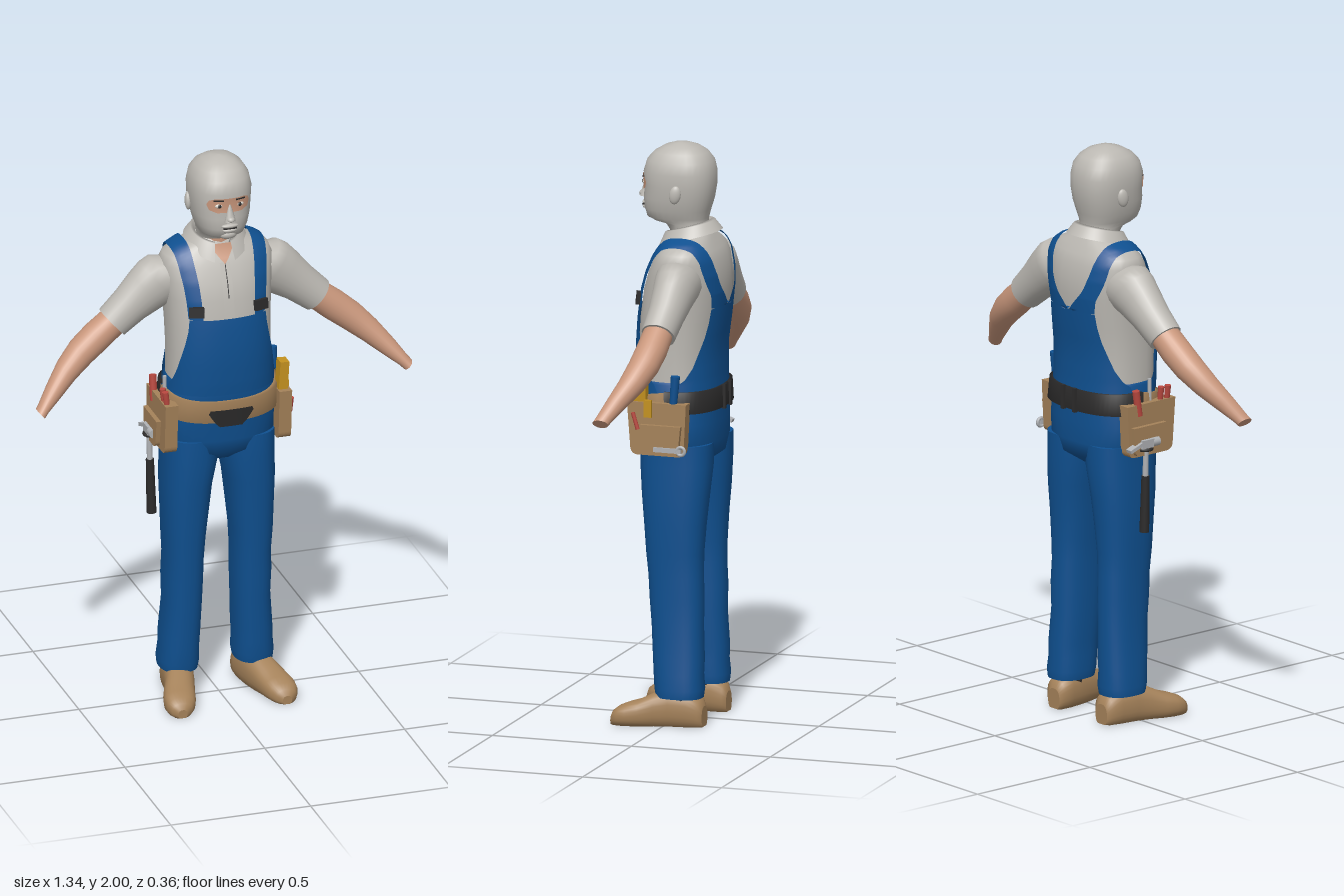
import * as THREE from 'three';

const mat = (name, color, side = THREE.FrontSide) => {
  const m = new THREE.MeshStandardMaterial({ color, side });
  m.name = name;
  return m;
};
const V = (x, y, z) => new THREE.Vector3(x, y, z);
const N = 32, POW = 2.4;

// Skin a grid of points; closed rows become a tube with crisp end caps
function skinGrid(rows, closed) {
  const pos = [], idx = [], n = rows[0].length;
  rows.forEach(r => r.forEach(p => pos.push(p.x, p.y, p.z)));
  for (let i = 0; i < rows.length - 1; i++)
    for (let j = 0; j < (closed ? n : n - 1); j++) {
      const a = i * n + j, b = i * n + (j + 1) % n, c = a + n, d = b + n;
      idx.push(a, c, b, b, c, d);
    }
  if (closed) [rows[0], rows[rows.length - 1]].forEach((r, end) => {
    const base = pos.length / 3, mid = V(0, 0, 0);
    r.forEach(p => { pos.push(p.x, p.y, p.z); mid.addScaledVector(p, 1 / n); });
    pos.push(mid.x, mid.y, mid.z);
    for (let j = 0; j < n; j++) {
      const p = base + j, q = base + (j + 1) % n;
      idx.push(base + n, end ? q : p, end ? p : q);
    }
  });
  const g = new THREE.BufferGeometry();
  g.setAttribute('position', new THREE.Float32BufferAttribute(pos, 3));
  g.setIndex(idx);
  g.computeVertexNormals();
  return g;
}

// Body sections are [y, halfWidth, frontZ, backZ, centreX]
function sectionAt(secs, y) {
  let i = 0;
  while (i < secs.length - 2 && y > secs[i + 1][0]) i++;
  const f = THREE.MathUtils.clamp((y - secs[i][0]) / (secs[i + 1][0] - secs[i][0]), 0, 1);
  const m = k => THREE.MathUtils.lerp(secs[i][k] ?? 0, secs[i + 1][k] ?? 0, f);
  return { a: m(1), b: (m(2) - m(3)) / 2, zc: (m(2) + m(3)) / 2, xc: m(4) };
}
const sp = v => Math.sign(v) * Math.abs(v) ** (2 / POW);
function ringPoint(secs, y, t, off = 0) {
  const s = sectionAt(secs, y);
  return V(s.xc + (s.a + off) * sp(Math.cos(t)), y, s.zc + (s.b + off) * sp(Math.sin(t)));
}
const body = secs => skinGrid(secs.map(s =>
  Array.from({ length: N }, (_, j) => ringPoint(secs, s[0], j / N * Math.PI * 2))), true);
function surfaceZ(secs, x, y, side, off) {
  const s = sectionAt(secs, y), k = Math.min(1, Math.abs(x) / (s.a + off));
  return s.zc + side * (s.b + off) * (1 - k ** POW) ** (1 / POW);
}
// Cloth panel lying on a body: rows of [y, halfWidth]
const panel = (secs, rows, side, off) => skinGrid(rows.map(([y, w]) =>
  Array.from({ length: 25 }, (_, j) => {
    const x = w * Math.sin((j / 12 - 1) * Math.PI / 2) * side;
    return V(-x, y, surfaceZ(secs, x, y, side, off));
  })), false);
// Arm tube: rows of [x, y, z, radius, depthRadius]
const limb = rows => skinGrid(rows.map(([x, y, z, r, rz]) => Array.from({ length: 24 }, (_, j) => {
  const t = j / 24 * Math.PI * 2, c = Math.cos(t) * r;
  return V(x + c * 0.66, y + c * 0.75, z - Math.sin(t) * rz);
})), true);

const TORSO = [[1.12, .183, .118, -.148], [1.2, .18, .125, -.145], [1.3, .18, .128, -.145], [1.4, .182, .122, -.158],
  [1.5, .188, .108, -.167], [1.56, .195, .09, -.165], [1.61, .198, .068, -.155], [1.64, .185, .052, -.142],
  [1.662, .155, .037, -.127], [1.685, .095, .03, -.115], [1.7, .06, .02, -.1]];
const PELVIS = [[.89, .08, .05, -.09], [.93, .17, .1, -.148], [.98, .198, .109, -.156], [1.05, .2, .115, -.157],
  [1.13, .194, .125, -.154], [1.19, .187, .132, -.152], [1.2, .178, .122, -.142]];
const LEG = [[.1, .066, .035, -.128, .134], [.13, .07, .04, -.132, .133], [.18, .066, .044, -.128, .131],
  [.23, .067, .047, -.13, .129], [.35, .064, .055, -.125, .122], [.44, .067, .062, -.127, .122], [.52, .066, .067, -.124, .12],
  [.6, .071, .075, -.125, .12], [.7, .078, .083, -.132, .116], [.8, .085, .092, -.142, .112], [.9, .094, .1, -.15, .101],
  [.98, .097, .1, -.15, .099]];
const HEAD = [[1.7, .066, .03, -.095], [1.722, .07, .045, -.098], [1.73, .071, .088, -.099], [1.742, .078, .11, -.1],
  [1.77, .089, .12, -.107], [1.81, .099, .122, -.119], [1.855, .104, .118, -.126], [1.9, .106, .122, -.127],
  [1.94, .098, .11, -.118], [1.968, .08, .085, -.097], [1.987, .055, .052, -.068], [1.997, .028, .02, -.036], [2, .004, .0, -.008]];

export function createModel() {
  const root = new THREE.Group();
  root.name = 'worker';
  const D = THREE.DoubleSide;
  const shirt = mat('light grey', 0xbcb9b3, D), skin = mat('skin', 0xc9977c, D), blue = mat('work blue', 0x0f5090, D),
    tan = mat('tan leather', 0xa5825a, D), black = mat('black', 0x2c2b2b, D), red = mat('red', 0xb8483f),
    yellow = mat('yellow', 0xc4921f), steel = mat('steel', 0xb0b2b5), white = mat('eye white', 0xd8d2c8);
  const add = (name, geo, m, parent = root, x = 0, y = 0, z = 0) => {
    const mesh = new THREE.Mesh(geo, m);
    mesh.name = name;
    mesh.position.set(x, y, z);
    parent.add(mesh);
    return mesh;
  };
  const box = (w, h, d) => new THREE.BoxGeometry(w, h, d);
  const rod = (r, h, r2 = r) => new THREE.CylinderGeometry(r, r2, h, 14);
  const blob = (x, y, z) => new THREE.SphereGeometry(1, 20, 14).scale(x, y, z);

  // Trunk and clothing panels
  add('shirt', body(TORSO), shirt);
  add('trouserSeat', body(PELVIS), blue);
  add('bib', panel(TORSO, [[1.16, .19], [1.19, .187], [1.21, .181], [1.25, .172], [1.3, .162], [1.35, .15], [1.4, .14], [1.44, .136]], 1, .01), blue);
  add('backPanel', panel(TORSO, [[1.16, .19], [1.19, .186], [1.21, .176], [1.25, .16], [1.3, .143], [1.35, .129], [1.4, .12], [1.45, .115]], -1, .01), blue);
  add('placket', panel(TORSO, [[1.43, .018], [1.5, .018], [1.56, .018], [1.625, .018]], 1, .005), shirt);
  add('placketSeam', panel(TORSO, [[1.51, .0015], [1.56, .0015], [1.625, .0015]], 1, .008), black);
  add('openNeck', panel(TORSO, [[1.622, .002], [1.64, .016], [1.662, .032], [1.685, .05]], 1, .009), skin);

  // Collar folded around the neck
  const collarRow = (r0, y0, dy, p) => Array.from({ length: 41 }, (_, j) => {
    const t = .33 + j / 40 * (Math.PI * 2 - .66), k = (1 - Math.cos(t)) / 2;
    return V(r0 * Math.sin(t), y0 + dy * k ** p, -.037 + r0 * Math.cos(t));
  });
  add('collar', skinGrid([collarRow(.07, 1.66, .05, 1), collarRow(.077, 1.69, .05, .8), collarRow(.085, 1.685, .05, .7),
    collarRow(.111, 1.618, .085, .55)], false), shirt);
  add('neck', rod(.062, .14), skin, root, 0, 1.65, -.032);

  // Head with hood, eye opening and features
  const head = new THREE.Group();
  head.name = 'head';
  root.add(head);
  add('hood', body(HEAD), shirt, head);
  add('eyeOpening', panel(HEAD, [[1.836, .045], [1.845, .068], [1.865, .076], [1.88, .07], [1.888, .05]], 1, .003), skin, head);
  const nose = add('nose', new THREE.ConeGeometry(.02, .075, 14).scale(1, 1, .9), shirt, head, 0, 1.84, .122);
  nose.rotation.x = -.12;
  add('noseTip', blob(.015, .012, .017), shirt, head, 0, 1.812, .129);
  add('upperLip', blob(.03, .008, .011), shirt, head, 0, 1.785, .12);
  add('lowerLip', blob(.026, .008, .011), shirt, head, 0, 1.769, .12);
  add('mouthLine', box(.046, .004, .008), black, head, 0, 1.777, .124);
  add('chin', blob(.032, .018, .02), shirt, head, 0, 1.746, .097);

  // Tool belt: leather front, webbing back
  const belt = (t0, mid, h) => skinGrid([[0, -1], [.014, -1], [.014, 1], [0, 1]].map(([off, e]) =>
    Array.from({ length: 33 }, (_, j) => {
      const t = t0 + j / 32 * Math.PI;
      return ringPoint(PELVIS, mid(t) + e * h, t, off);
    })), false);
  add('beltFront', belt(0, t => 1.125 - .027 * Math.sin(t), .04), tan);
  add('beltBack', belt(Math.PI, () => 1.132, .037), black);
  add('beltPad', panel(PELVIS, [[1.045, .04], [1.06, .055], [1.085, .072], [1.098, .08], [1.11, .074]], 1, .021), black);
  [-.03, .03].forEach(x => add('beltLoop', box(.014, .084, .012), black, root, x, 1.132, -.17));

  // Parts mirrored on both sides
  const strapPath = new THREE.CatmullRomCurve3([[-25, .092, .138], [0, .095, .142], [30, .1, .148], [60, .108, .157], [90, .114, .166],
    [120, .112, .164], [150, .093, .15], [170, .07, .133], [180, .05, .123], [190, .025, .118], [201, 0, .115]].map(([d, a, b]) => V(d / 100, a, b)));
  const strapPoint = (deg, x) => {
    const th = deg * Math.PI / 180, cy = Math.sin(th), cz = Math.cos(th);
    let lo = 0, hi = .3;
    for (let k = 0; k < 22; k++) {
      const r = (lo + hi) / 2, y = 1.5 + r * cy, s = sectionAt(TORSO, y);
      const q = (x / s.a) ** POW + Math.abs((-.03 + r * cz - s.zc) / s.b) ** POW;
      if (q < 1 && y < 1.7) lo = r; else hi = r;
    }
    return V(x, 1.5 + (lo + .011) * cy, -.03 + (lo + .011) * cz);
  };
  const strapRows = strapPath.getPoints(60).map(p => Array.from({ length: 7 }, (_, j) =>
    strapPoint(p.x * 100, THREE.MathUtils.lerp(p.y, p.z, j / 6))));
  const shoeRows = [[-.132, .125, .03, .07], [-.12, .126, .046, .1], [-.08, .13, .054, .125], [-.02, .138, .054, .13], [.03, .15, .054, .115],
    [.08, .168, .057, .09], [.12, .178, .057, .078], [.15, .183, .05, .066], [.17, .186, .036, .05], [.18, .187, .016, .03]]
    .map(([z, xc, w, h]) => Array.from({ length: 28 }, (_, j) => {
      const t = j / 28 * Math.PI * 2;
      return V(xc + w * sp(Math.cos(t)), Math.max(0, h * (.45 - .55 * sp(Math.sin(t)))), z);
    }));
  const pouchShape = (z0, z1, y0, y1) => {
    const s = new THREE.Shape();
    s.moveTo(z0, y1);
    s.lineTo(z0 + .008, y0 + .02);
    s.quadraticCurveTo(z0 + .01, y0, z0 + .03, y0);
    s.lineTo(z1 - .04, y0);
    s.quadraticCurveTo(z1 - .015, y0, z1 - .012, y0 + .025);
    s.lineTo(z1, y1);
    return s;
  };
  const pouch = (depth, ...b) => new THREE.ExtrudeGeometry(pouchShape(...b), { depth, bevelEnabled: false }).rotateY(-Math.PI / 2);
  const sides = {};
  for (const s of [1, -1]) {
    const g = new THREE.Group();
    g.name = s > 0 ? 'leftSide' : 'rightSide';
    g.scale.x = s;
    root.add(g);
    sides[s] = g;
    add('strap', skinGrid(strapRows, false), blue, g);
    const bz = surfaceZ(TORSO, .115, 1.472, 1, .016);
    add('strapBuckle', box(.052, .036, .014), black, g, .115, 1.472, bz).rotation.set(-.12, .35, 0);
    add('sleeve', limb([[.1, 1.57, -.05, .06, .06], [.165, 1.552, -.055, .1, .078], [.2, 1.535, -.056, .097, .075], [.24, 1.508, -.056, .086, .069],
      [.3, 1.46, -.054, .07, .062], [.366, 1.405, -.05, .062, .058]]), shirt, g);
    add('forearm', limb([[.33, 1.435, -.05, .05, .05], [.42, 1.364, -.045, .054, .053], [.48, 1.317, -.036, .051, .052], [.54, 1.265, -.014, .043, .046],
      [.6, 1.207, .022, .032, .036], [.642, 1.165, .048, .022, .029], [.656, 1.15, .057, .021, .028]]), skin, g);
    add('trouserLeg', body(LEG), blue, g);
    add('boot', skinGrid(shoeRows, true), tan, g);
    add('bootCollar', rod(.05, .06), black, g, .132, .105, -.055);
    add('ear', blob(.012, .032, .02), shirt, g, .104, 1.835, -.018).rotation.set(-.15, .25, 0);
    const ez = surfaceZ(HEAD, .036, 1.861, 1, 0);
    add('eye', blob(.015, .008, .007), white, g, .036, 1.861, ez);
    add('iris', blob(.006, .007, .004), black, g, .036, 1.861, ez + .005);
    add('eyebrow', box(.036, .005, .006), black, g, .038, 1.881, ez + .002).rotation.y = .25;
    add('pouch', pouch(.045, -.1, .112, .952, 1.135), tan, g, .226);
    add('pouchPocket', pouch(.03, -.085, .06, .958, 1.06), tan, g, .242);
  }

  // Left pouch tools
  const L = sides[1], R = sides[-1];
  add('foldingRule', box(.032, .15, .045), yellow, L, .202, 1.16, .07).rotation.z = -.06;
  add('pencil', box(.012, .06, .026), yellow, L, .23, 1.115, .035);
  add('blueGrip', rod(.016, .13, .012), blue, L, .21, 1.165, -.052).rotation.x = -.08;
  add('redMarker', rod(.007, .06), red, L, .232, 1.07, .08).rotation.x = .3;
  add('wrenchShaft', box(.01, .016, .1), steel, L, .245, .978, -.04);
  add('wrenchHead', new THREE.TorusGeometry(.014, .006, 8, 16).rotateY(Math.PI / 2), steel, L, .245, .978, -.088);

  // Right pouch tools and hanging hammer
  for (const z of [.085, .055]) add('plierHandle', rod(.011, .1, .008), red, R, .213, 1.13, z).rotation.z = -.12;
  add('screwdriverShaft', rod(.007, .12), steel, R, .2, 1.15, .02);
  add('screwdriverGrip', rod(.013, .09), red, R, .218, 1.14, -.05).rotation.x = -.15;
  const hammer = new THREE.Group();
  hammer.name = 'hammer';
  hammer.position.set(.24, 1.0, -.03);
  hammer.rotation.z = -.03;
  R.add(hammer);
  add('hammerGrip', rod(.014, .2, .017), black, hammer, 0, -.215, 0);
  add('hammerShaft', rod(.01, .13), steel, hammer, 0, -.06, 0);
  add('hammerHead', box(.026, .03, .05), steel, hammer);
  add('hammerFace', rod(.016, .03).rotateX(Math.PI / 2), steel, hammer, 0, 0, .038);
  add('hammerClaw', box(.026, .012, .06), steel, hammer, 0, -.006, -.048).rotation.x = -.35;
  add('hammerHolder', new THREE.TorusGeometry(.025, .006, 8, 20).rotateX(Math.PI / 2), black, hammer, -.008, -.02, 0);
  return root;
}
